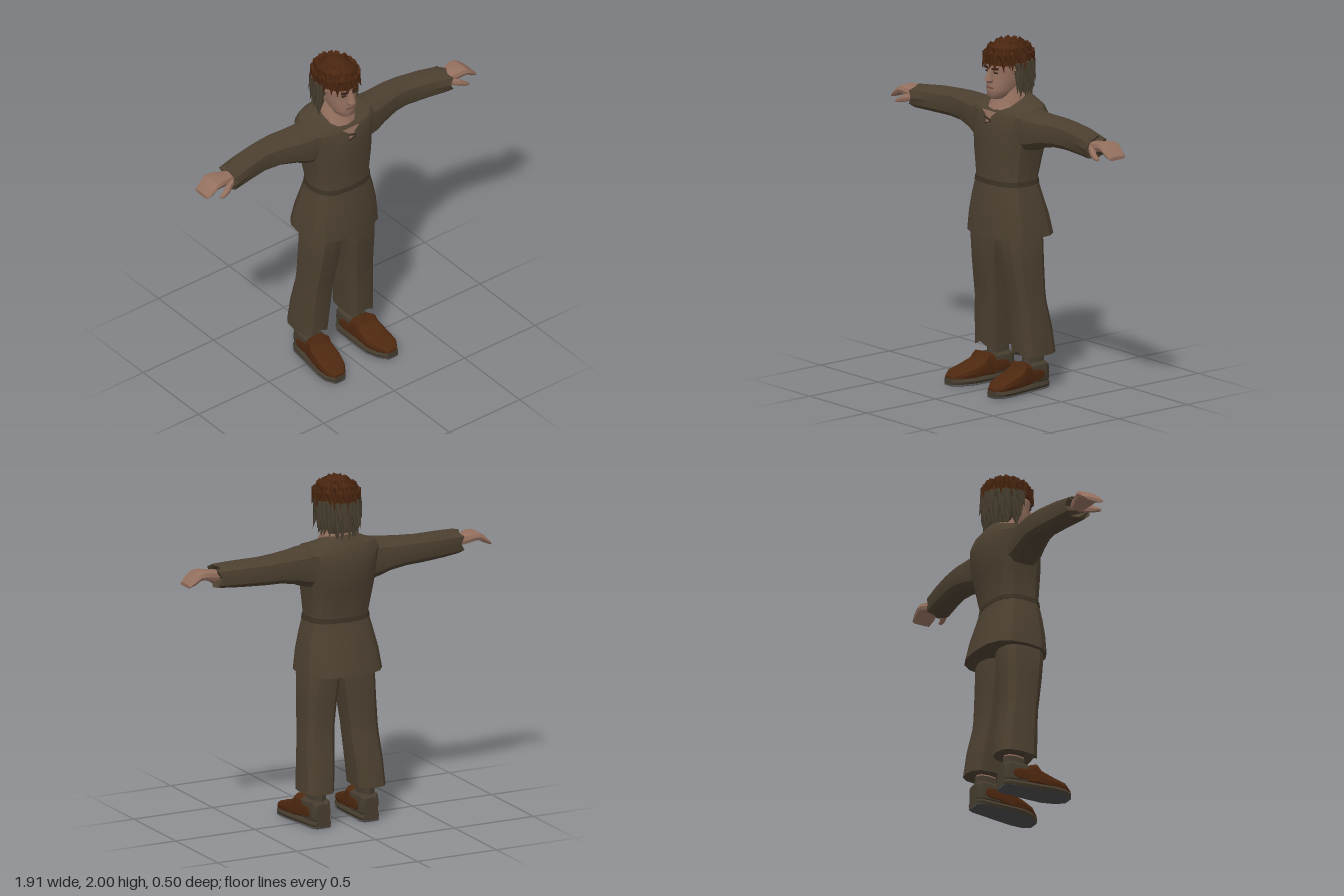
import * as THREE from 'three';
import { mergeGeometries, toCreasedNormals } from 'three/addons/utils/BufferGeometryUtils.js';

const mat = (name, color) => {
  const m = new THREE.MeshStandardMaterial({ color });
  m.name = name;
  return m;
};

// Cross axes (u, v) for each loft axis
const CROSS = { x: ['z', 'y'], y: ['x', 'z'], z: ['y', 'x'] };

// Skin rounded rings [t, u0, u1, v0, v1, tilt] stacked along an axis in ascending t
function loft(axis, rings, { n = 12, p = 0.75, bend, crease = 0.45 } = {}) {
  const [U, V] = CROSS[axis], pos = [], idx = [], pt = new THREE.Vector3();
  const sp = (c) => Math.sign(c) * Math.pow(Math.abs(c), p);
  rings.forEach(([t, u0, u1, v0, v1, tilt = 0], i) => {
    for (let k = 0; k < n; k++) {
      const a = (k / n) * Math.PI * 2;
      pt[axis] = t;
      pt[U] = (u0 + u1) / 2 + ((u1 - u0) / 2) * sp(Math.cos(a));
      pt[V] = (v0 + v1) / 2 + ((v1 - v0) / 2) * sp(Math.sin(a));
      if (bend) bend(pt, i, k, tilt);
      pos.push(pt.x, pt.y, pt.z);
    }
  });
  const last = rings.length - 1;
  for (let i = 0; i < last; i++) {
    for (let k = 0; k < n; k++) {
      const a = i * n + k, b = i * n + ((k + 1) % n);
      idx.push(a, a + n, b, b, a + n, b + n);
    }
  }
  for (let k = 1; k < n - 1; k++) {
    idx.push(0, k, k + 1, last * n, last * n + k + 1, last * n + k);
  }
  const g = new THREE.BufferGeometry();
  g.setAttribute('position', new THREE.Float32BufferAttribute(pos, 3));
  g.setIndex(idx);
  return toCreasedNormals(g, crease);
}

// Mirror a non-indexed geometry across x, keeping faces outward
function mirrored(g) {
  const m = g.clone(), src = g.attributes.position, dst = m.attributes.position;
  for (let i = 0; i < src.count; i++) {
    const j = i - (i % 3) + (2 - (i % 3));
    dst.setXYZ(i, -src.getX(j), src.getY(j), src.getZ(j));
  }
  return toCreasedNormals(m, 0.45);
}

// Pointed tuft of hair from a to b
function tuft(a, b, r) {
  const d = b.clone().sub(a), g = new THREE.ConeGeometry(r, d.length(), 5);
  g.applyQuaternion(new THREE.Quaternion().setFromUnitVectors(new THREE.Vector3(0, 1, 0), d.clone().normalize()));
  const c = a.clone().add(b).multiplyScalar(0.5);
  return g.translate(c.x, c.y, c.z).toNonIndexed();
}

export function createModel() {
  const root = new THREE.Group();
  root.name = 'man';
  const cloth = mat('cloth', 0x4c4030), darkCloth = mat('darkCloth', 0x3c3225);
  const skin = mat('skin', 0x94705f), dark = mat('darkBrow', 0x38241a), lip = mat('lip', 0x744f42);
  const hairTop = mat('hairBrown', 0x4a2610), hairLow = mat('hairGrey', 0x4a4031);
  const leather = mat('leather', 0x4e2810), sock = mat('shoeTrim', 0x463d2f), soleGrey = mat('soleGrey', 0x4b4a4a);

  const add = (name, g, m) => {
    const mesh = new THREE.Mesh(g, m);
    mesh.name = name;
    root.add(mesh);
  };
  const pair = (name, g, m) => {
    add(name + 'Left', g, m);
    add(name + 'Right', mirrored(g), m);
  };
  const box = (w, h, d, x, y, z, rz = 0) =>
    new THREE.BoxGeometry(w, h, d).rotateZ(rz).translate(x, y, z).toNonIndexed();
  const wide = (y, w, z0, z1, k) => [y, -w, w, z0, z1, k];

  // Tunic: collar rings dip toward the front
  const dip = (v, i, k, tilt) => { v.y -= (v.z + 0.06) * tilt * (v.z > -0.06 ? 1 : 0.4); };
  add('tunic', loft('y', [
    wide(0.885, 0.245, -0.247, 0.157), wide(1.0, 0.23, -0.22, 0.15), wide(1.1, 0.208, -0.188, 0.137),
    wide(1.18, 0.188, -0.165, 0.123), wide(1.21, 0.182, -0.16, 0.118), wide(1.38, 0.205, -0.198, 0.125),
    wide(1.5, 0.22, -0.214, 0.12), wide(1.585, 0.235, -0.205, 0.105), wide(1.625, 0.215, -0.185, 0.098, 0.17),
    wide(1.665, 0.105, -0.15, 0.08, 0.5),
  ], { n: 16, bend: dip }), cloth);
  add('waistSeam', loft('y', [
    wide(1.18, 0.191, -0.168, 0.126), wide(1.208, 0.186, -0.164, 0.122),
  ], { n: 16 }), darkCloth);

  // Neck opening and laces
  const slit = new THREE.ShapeGeometry(new THREE.Shape(
    [[-0.06, 1.602], [-0.02, 1.57], [-0.017, 1.53], [0.017, 1.53], [0.02, 1.57], [0.06, 1.602]]
      .map(([x, y]) => new THREE.Vector2(x, y))));
  const sp = slit.attributes.position;
  for (let i = 0; i < sp.count; i++) sp.setZ(i, 0.126 - (sp.getY(i) - 1.5) * 0.18);
  slit.computeVertexNormals();
  add('neckOpening', slit, skin);
  [1.535, 1.56].forEach((y, i) => add('lace' + (i + 1), box(0.05, 0.009, 0.008, 0, y, 0.122, i ? -0.3 : 0.3), darkCloth));
  add('neck', loft('y', [
    wide(1.6, 0.08, -0.12, 0.05, 0.2), wide(1.672, 0.096, -0.135, 0.078, 0.5),
    wide(1.69, 0.084, -0.12, 0.05, 0.3), wide(1.76, 0.07, -0.11, 0.035),
  ], { bend: dip, crease: 0.8 }), skin);

  // Sleeves with frayed cuffs
  pair('sleeve', loft('x', [
    [0.15, -0.15, 0.06, 1.375, 1.63], [0.24, -0.145, 0.055, 1.395, 1.62], [0.3, -0.15, 0.04, 1.42, 1.612],
    [0.4, -0.157, 0.015, 1.44, 1.607], [0.5, -0.15, 0.002, 1.443, 1.602], [0.64, -0.13, 0.025, 1.447, 1.595],
    [0.765, -0.105, 0.052, 1.452, 1.583],
  ], { bend: (v, i, k) => { if (i === 6) v.x += k % 2 ? 0.013 : -0.01; } }), cloth);

  // Hands with fingers curling down, and thumbs
  pair('hand', loft('x', [
    [0.73, -0.065, 0.012, 1.49, 1.55], [0.8, -0.08, 0.02, 1.497, 1.557], [0.85, -0.095, 0.034, 1.512, 1.566],
    [0.885, -0.097, 0.038, 1.515, 1.562], [0.92, -0.094, 0.036, 1.493, 1.537], [0.955, -0.085, 0.028, 1.48, 1.5],
  ], { n: 10, p: 0.6 }), skin);
  pair('thumb', loft('x', [
    [0.77, -0.01, 0.03, 1.495, 1.535], [0.82, 0.015, 0.06, 1.48, 1.525],
    [0.855, 0.035, 0.065, 1.472, 1.502], [0.88, 0.04, 0.06, 1.47, 1.484],
  ], { n: 8 }), skin);

  // Trousers with frayed hems
  pair('trouserLeg', loft('y', [
    [0.205, 0.07, 0.256, -0.205, 0.043], [0.35, 0.058, 0.247, -0.188, 0.052], [0.5, 0.045, 0.236, -0.155, 0.06],
    [0.56, 0.042, 0.232, -0.15, 0.07], [0.72, 0.022, 0.225, -0.15, 0.095], [0.86, 0.001, 0.22, -0.152, 0.112],
    [0.96, 0, 0.19, -0.14, 0.1],
  ], { bend: (v, i, k) => { if (i === 0 && k > 1 && k < 5) v.y += k % 2 ? 0.025 : -0.004; } }), cloth);

  // Ankles and shoes
  pair('ankle', loft('y', [[0.17, 0.115, 0.192, -0.145, -0.02], [0.3, 0.118, 0.2, -0.14, -0.02]], { n: 8 }), skin);
  pair('sock', loft('y', [[0.12, 0.108, 0.198, -0.152, -0.012], [0.195, 0.111, 0.196, -0.15, -0.016]], { n: 8 }), sock);
  pair('shoeBack', loft('z', [
    [-0.165, 0.03, 0.14, 0.108, 0.195], [-0.135, 0.03, 0.163, 0.093, 0.213], [-0.02, 0.03, 0.16, 0.09, 0.222],
  ], { p: 0.5 }), sock);
  pair('shoePatch', loft('z', [
    [-0.115, 0.065, 0.11, 0.088, 0.218], [-0.085, 0.045, 0.128, 0.087, 0.222], [-0.01, 0.045, 0.135, 0.086, 0.227],
  ], { p: 0.5 }), leather);
  pair('shoeFront', loft('z', [
    [-0.025, 0.03, 0.155, 0.09, 0.224], [0.03, 0.03, 0.172, 0.09, 0.238], [0.05, 0.03, 0.137, 0.09, 0.244],
    [0.13, 0.03, 0.103, 0.092, 0.252], [0.2, 0.03, 0.083, 0.115, 0.25], [0.248, 0.03, 0.055, 0.155, 0.22],
  ], { p: 0.55 }), leather);
  const solePart = (y0, y1) => loft('z', [
    [-0.167, y0, y1, 0.105, 0.198], [-0.135, y0, y1, 0.089, 0.217], [0.03, y0, y1, 0.086, 0.241],
    [0.13, y0, y1, 0.088, 0.256], [0.2, y0, y1, 0.111, 0.253], [0.25, y0, y1, 0.152, 0.223],
  ], { n: 8, p: 0.3 });
  pair('welt', solePart(0.008, 0.042), sock);
  pair('sole', solePart(0, 0.009), soleGrey);

  // Head and face
  add('head', loft('y', [
    wide(1.668, 0.035, -0.01, 0.088), wide(1.685, 0.055, -0.06, 0.106), wide(1.72, 0.072, -0.09, 0.106),
    wide(1.78, 0.081, -0.12, 0.1), wide(1.82, 0.084, -0.13, 0.096), wide(1.85, 0.088, -0.14, 0.103),
    wide(1.93, 0.08, -0.13, 0.09),
  ], { n: 16, p: 0.8, crease: 0.9 }), skin);
  add('nose', loft('y', [
    wide(1.762, 0.016, 0.08, 0.115), wide(1.777, 0.024, 0.08, 0.136), wide(1.8, 0.016, 0.08, 0.128),
    wide(1.85, 0.011, 0.08, 0.107),
  ], { n: 8, crease: 0.8 }), skin);
  add('mouth', box(0.056, 0.008, 0.008, 0, 1.733, 0.103), lip);
  pair('eyebrow', box(0.042, 0.012, 0.016, 0.036, 1.846, 0.096, 0.1), dark);
  pair('eye', box(0.026, 0.009, 0.009, 0.036, 1.822, 0.09), dark);
  pair('ear', loft('y', [[1.76, 0.075, 0.09, -0.04, -0.01], [1.83, 0.075, 0.1, -0.06, 0]], { n: 8 }), skin);

  // Hair: smooth underlayers plus tiers of pointed tufts
  add('hairCap', loft('y', [
    wide(1.865, 0.115, -0.172, 0.108), wide(1.915, 0.114, -0.168, 0.105), wide(1.955, 0.094, -0.14, 0.085),
    wide(1.985, 0.058, -0.095, 0.045), wide(1.998, 0.02, -0.05, 0.0),
  ], { n: 16, p: 0.95, crease: 0.7 }), hairTop);
  add('hairBack', loft('y', [
    wide(1.69, 0.08, -0.13, -0.04), wide(1.77, 0.102, -0.16, -0.005), wide(1.88, 0.11, -0.17, 0.03),
  ], { p: 0.85 }), hairLow);

  let seed = 7;
  const rnd = () => (seed = (seed * 16807) % 2147483647) / 2147483647;
  // Tier of tufts: angle 0 is the front; radii are given as fractions of the head oval
  const tier = (count, from, to, yA, rA, yB, rB, r) => Array.from({ length: count }, (_, i) => {
    const a = from + ((to - from) * (i + 0.3 + rnd() * 0.4)) / count;
    const at = (q, y, s) => new THREE.Vector3(Math.sin(q) * 0.13 * s, y, -0.035 + Math.cos(q) * 0.152 * s);
    return tuft(at(a, yA, rA), at(a + (rnd() - 0.5) * 0.25, yB + (rnd() - 0.5) * 0.035, rB + (rnd() - 0.5) * 0.06), r);
  });
  const TAU = Math.PI * 2;
  add('hairTuftsTop', mergeGeometries([
    ...tier(10, 0, TAU, 1.982, 0.4, 1.945, 0.82, 0.02),
    ...tier(18, 0, TAU, 1.955, 0.72, 1.89, 1.0, 0.022),
    ...tier(24, 0, TAU, 1.925, 0.88, 1.845, 1.03, 0.022),
  ]), hairTop);
  add('hairTuftsLow', mergeGeometries([
    ...tier(18, 1.25, TAU - 1.25, 1.875, 0.88, 1.765, 1.06, 0.024),
    ...tier(18, 1.3, TAU - 1.3, 1.83, 0.86, 1.705, 1.0, 0.024),
    ...tier(15, 1.45, TAU - 1.45, 1.77, 0.8, 1.66, 0.88, 0.024),
  ]), hairLow);

  return root;
}
